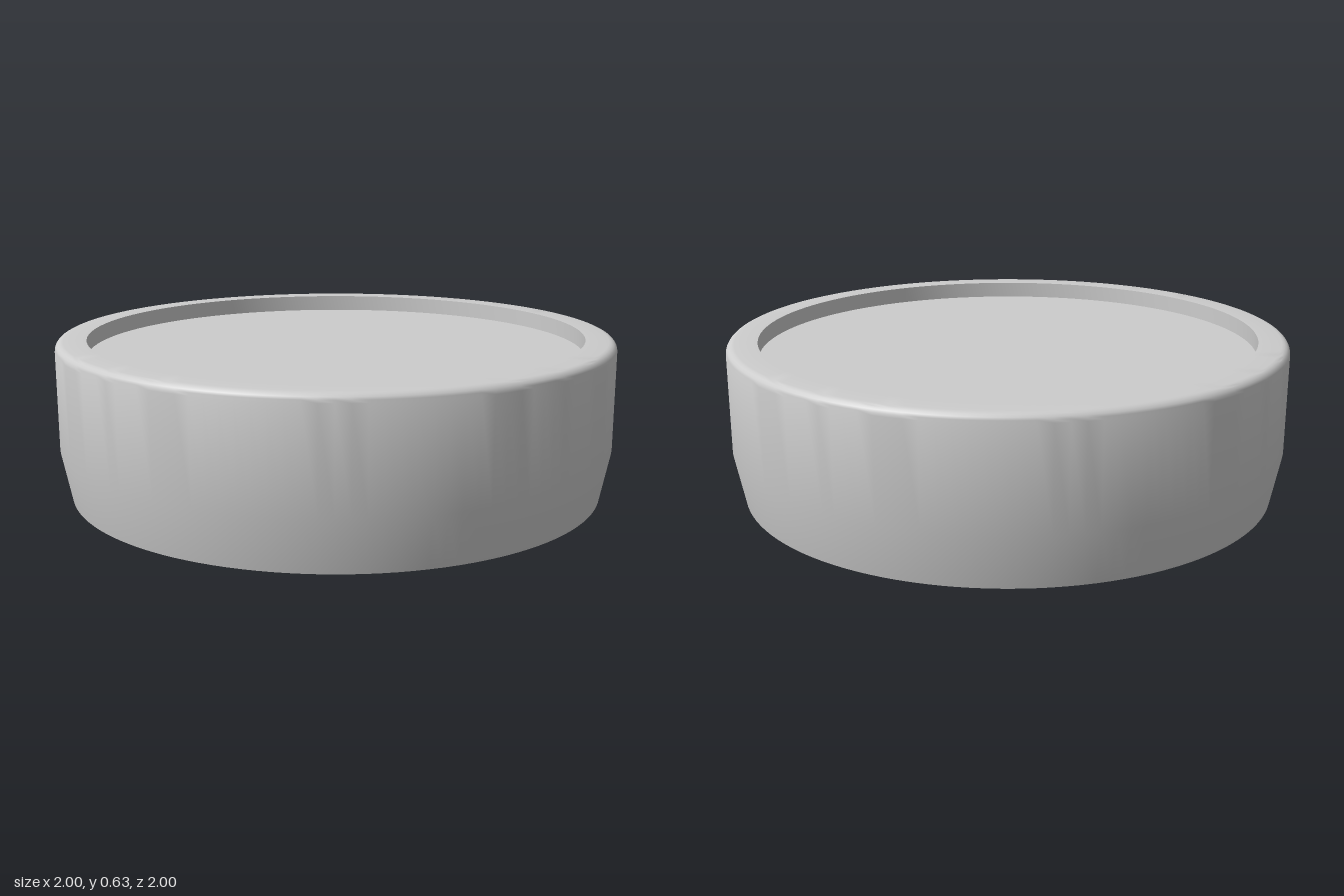
import * as THREE from 'three';
import { toCreasedNormals } from 'three/addons/utils/BufferGeometryUtils.js';

// Turned solid with sharp edges kept; the profile runs from the lower axis point to the upper one
function turned(profile, segments) {
  const points = profile.map(([r, y]) => new THREE.Vector2(r, y));
  return toCreasedNormals(new THREE.LatheGeometry(points, segments), Math.PI / 6);
}

// Crowned wheel profile, optionally with dished sides
function wheelProfile(radius, width, crown, dish) {
  const h = width / 2;
  const side = dish ? [[0, h - dish], [radius - 0.024, h - dish], [radius - 0.024, h]] : [[0, h]];
  const lower = side.map(([r, y]) => [r, -y]);
  const tread = [];
  for (let i = 0; i <= 6; i++) {
    const t = i / 3 - 1;
    tread.push([radius - crown * t * t, h * t]);
  }
  return [...lower, ...tread, ...side.reverse()];
}

export function createModel() {
  const group = new THREE.Group();
  const grey = new THREE.MeshStandardMaterial({ color: 0xcccccc });
  grey.name = 'light grey';

  // Round body: tapered base, rounded top edge and recessed lid
  const profile = [[0, 0.07], [0.965, 0.07], [1, 0.25]];
  const bevel = 0.03;
  for (let i = 0; i <= 5; i++) {
    const a = (i / 5) * Math.PI / 2;
    profile.push([1 - bevel + bevel * Math.cos(a), 0.63 - bevel + bevel * Math.sin(a)]);
  }
  profile.push([0.89, 0.63], [0.89, 0.57], [0, 0.57]);
  const body = new THREE.Mesh(turned(profile, 128), grey);
  body.name = 'body';
  group.add(body);

  // Wheels set into the underside, mirrored left and right
  const wheels = [
    { name: 'FrontWheel', x: 0.4, z: 0.5, r: 0.134, width: 0.08, crown: 0.005, dish: 0.02, base: 0.004 },
    { name: 'RearWheel', x: 0.567, z: -0.41, r: 0.218, width: 0.135, crown: 0.012, dish: 0, base: 0 },
  ];
  for (const w of wheels) {
    const geometry = turned(wheelProfile(w.r, w.width, w.crown, w.dish), 64).rotateZ(Math.PI / 2);
    for (const s of [1, -1]) {
      const wheel = new THREE.Mesh(geometry, grey);
      wheel.name = (s > 0 ? 'left' : 'right') + w.name;
      wheel.position.set(s * w.x, w.base + w.r, w.z);
      group.add(wheel);
    }
  }
  return group;
}
